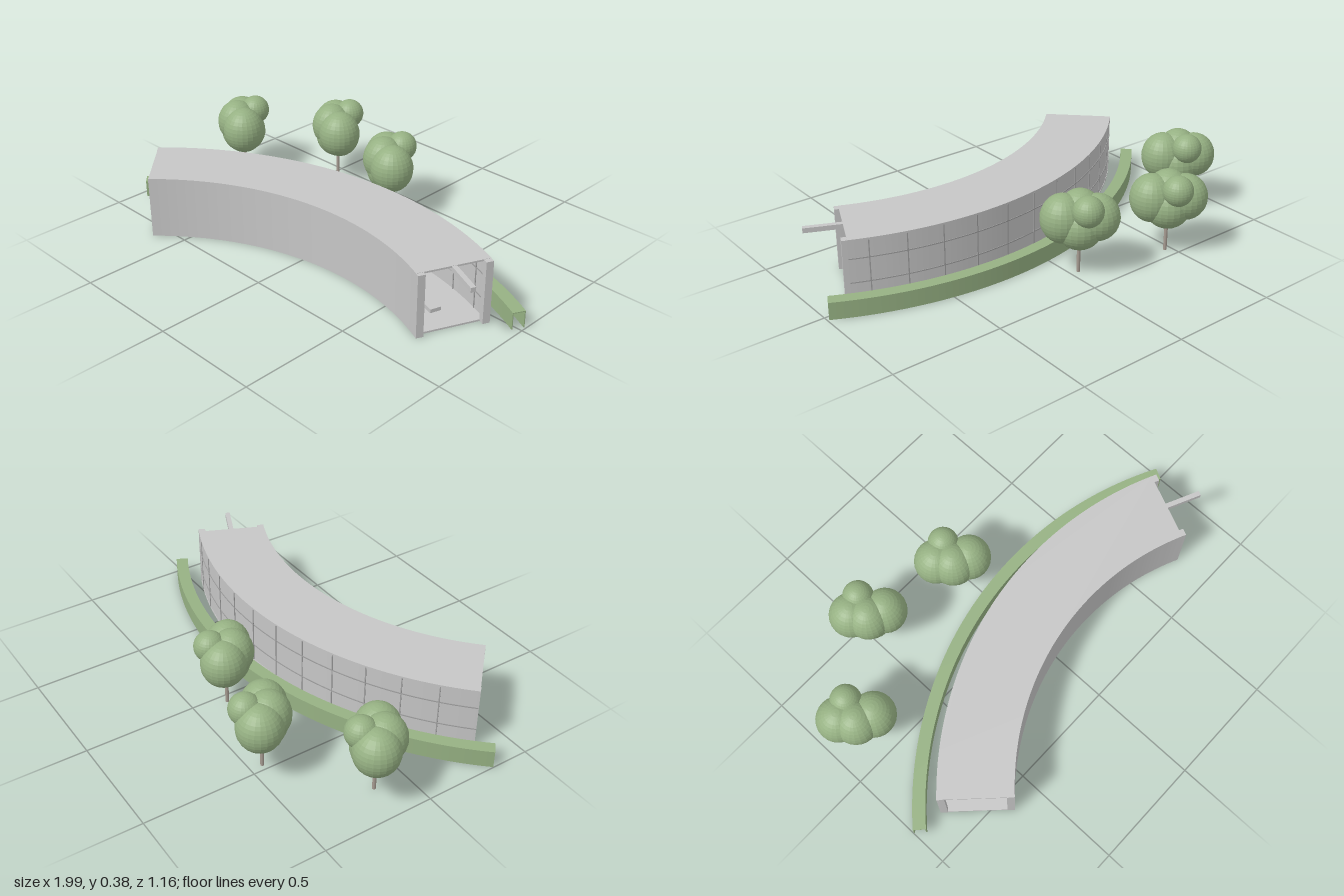
import * as THREE from 'three';

const CX = 0.225, CZ = 1.43;               // shared centre of all the arcs
const rad = THREE.MathUtils.degToRad;

const wallGrey = new THREE.MeshStandardMaterial({ color: 0xc6c6c6 });
const frameGrey = new THREE.MeshStandardMaterial({ color: 0xa0a0a0 });
const leafGreen = new THREE.MeshStandardMaterial({ color: 0x96b183 });
const trunkBrown = new THREE.MeshStandardMaterial({ color: 0xa79c92 });

// Solid ring sector; angles in degrees from the back, positive toward +x
function sector(name, mat, r0, r1, a0, a1, y0, y1, segs = 36) {
  const s = new THREE.Shape();
  const t0 = Math.PI / 2 - rad(a0), t1 = Math.PI / 2 - rad(a1);
  s.absarc(0, 0, r1, t0, t1, true);
  s.absarc(0, 0, r0, t1, t0, false);
  s.closePath();
  const g = new THREE.ExtrudeGeometry(s, { depth: y1 - y0, bevelEnabled: false, curveSegments: segs });
  g.rotateX(-Math.PI / 2);
  g.translate(CX, y0, CZ);
  const m = new THREE.Mesh(g, mat);
  m.name = name;
  return m;
}

// Box set along the arc at radius r and angle a
function arcBox(name, mat, r, a, width, length, y0, y1) {
  const m = new THREE.Mesh(new THREE.BoxGeometry(length, y1 - y0, width), mat);
  m.position.set(CX + r * Math.sin(rad(a)), (y0 + y1) / 2, CZ - r * Math.cos(rad(a)));
  m.rotation.y = -rad(a);
  m.name = name;
  return m;
}

function createPavilion() {
  const g = new THREE.Group();
  g.name = 'pavilion';
  g.add(sector('floor', wallGrey, 1.21, 1.53, -45, 24.2, 0, 0.008));
  g.add(sector('roof', wallGrey, 1.21, 1.53, -45, 24.2, 0.28, 0.288));
  g.add(sector('frontWall', wallGrey, 1.21, 1.222, -45, 24.2, 0.008, 0.28));
  g.add(sector('backWall', wallGrey, 1.516, 1.528, -45, 24.2, 0.008, 0.28));

  // Glazing bars on the back wall
  for (let a = -39; a <= 21; a += 6) {
    g.add(arcBox('verticalBar', frameGrey, 1.522, a, 0.018, 0.005, 0.008, 0.28));
  }
  for (const y of [0.09, 0.2]) {
    g.add(sector('horizontalBar', frameGrey, 1.513, 1.5305, -45, 24.2, y - 0.0025, y + 0.0025));
  }

  // Corner posts at both open ends
  for (const r of [1.226, 1.514]) {
    g.add(sector('endPost', wallGrey, r - 0.016, r + 0.016, 24, 25.1, 0, 0.287, 2));
    g.add(sector('endPost', wallGrey, r - 0.016, r + 0.016, -45.05, -44.3, 0, 0.287, 2));
  }

  // Low bench inside the entrance
  g.add(arcBox('bench', wallGrey, 1.36, 18, 0.05, 0.07, 0.008, 0.025));

  // Beam running out from under the roof
  const beam = new THREE.Mesh(new THREE.BoxGeometry(0.3, 0.022, 0.022), wallGrey);
  beam.position.set(0.8, 0.276, 0.185);
  beam.rotation.y = -rad(24.5);
  beam.name = 'entranceBeam';
  g.add(beam);
  return g;
}

// Hollow hedge: two thin sides and a top, open below and at the ends
function createHedge() {
  const g = new THREE.Group();
  g.name = 'hedge';
  g.add(sector('hedgeTop', leafGreen, 1.59, 1.646, -48, 27.8, 0.075, 0.079));
  g.add(sector('hedgeSide', leafGreen, 1.59, 1.594, -48, 27.8, 0, 0.075));
  g.add(sector('hedgeSide', leafGreen, 1.642, 1.646, -48, 27.8, 0, 0.075));
  return g;
}

// x, y, z, radius, vertical stretch of each foliage ball
const BALLS = [
  [-0.06, 0.26, -0.045, 0.098, 1.05],
  [0.055, 0.255, 0.045, 0.098, 1.12],
  [0.012, 0.315, -0.068, 0.068, 1],
  [0, 0.222, 0, 0.106, 1],
  [-0.02, 0.27, 0.02, 0.095, 1.1],
];

function createTree(x, z) {
  const g = new THREE.Group();
  g.name = 'tree';
  const trunk = new THREE.Mesh(new THREE.CylinderGeometry(0.008, 0.008, 0.2, 10), trunkBrown);
  trunk.position.y = 0.1;
  trunk.name = 'trunk';
  g.add(trunk);
  for (const [bx, by, bz, r, stretch] of BALLS) {
    const geo = new THREE.SphereGeometry(r, 24, 18).toNonIndexed();
    geo.scale(1, stretch, 1);
    geo.computeVertexNormals();            // faceted leaves
    const ball = new THREE.Mesh(geo, leafGreen);
    ball.position.set(bx, by, bz);
    ball.name = 'foliage';
    g.add(ball);
  }
  g.position.set(x, 0, z);
  return g;
}

export function createModel() {
  const model = new THREE.Group();
  model.name = 'curvedPavilion';
  model.add(createPavilion(), createHedge());
  for (const [x, z] of [[-0.83, -0.148], [-0.47, -0.443], [-0.04, -0.35]]) {
    model.add(createTree(x, z));
  }
  return model;
}
